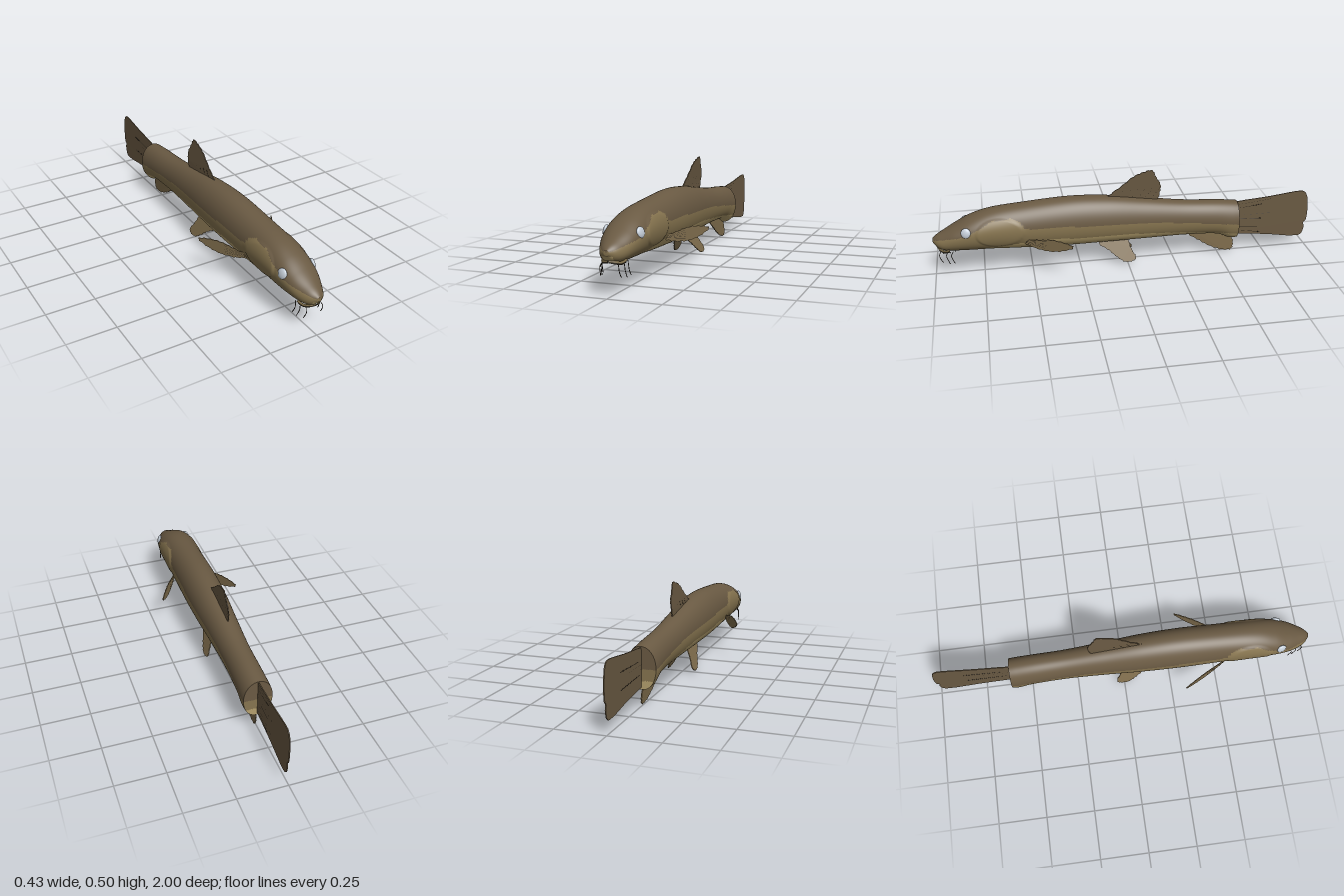
import * as THREE from 'three';

const mat = (name, color, side = THREE.FrontSide) => {
  const m = new THREE.MeshStandardMaterial({ color, side });
  m.name = name;
  return m;
};

// Piecewise linear lookup over [z, value] pairs, ordered from nose to tail
function along(table, z) {
  for (let i = 1; i < table.length; i++) {
    const [z0, v0] = table[i - 1], [z1, v1] = table[i];
    if (z >= z1) return THREE.MathUtils.lerp(v0, v1, Math.min(1, (z0 - z) / (z0 - z1)));
  }
  return table[table.length - 1][1];
}

// Body sections: z, top, bottom, half width, height of the widest point
const SECTIONS = [
  [1.0, 0.212, 0.19, 0.012, 0.2], [0.975, 0.232, 0.162, 0.04, 0.195], [0.94, 0.252, 0.148, 0.06, 0.198],
  [0.88, 0.285, 0.145, 0.082, 0.22], [0.8, 0.325, 0.143, 0.095, 0.24], [0.7, 0.354, 0.14, 0.097, 0.25],
  [0.55, 0.37, 0.132, 0.097, 0.25], [0.3, 0.386, 0.125, 0.099, 0.25], [0.1, 0.376, 0.125, 0.094, 0.245],
  [-0.1, 0.348, 0.125, 0.082, 0.235], [-0.3, 0.32, 0.126, 0.073, 0.22], [-0.48, 0.306, 0.118, 0.074, 0.205],
  [-0.56, 0.298, 0.088, 0.076, 0.19], [-0.6, 0.293, 0.086, 0.074, 0.19],
];
// Lower edge of the dark back, and upper edge of the pale belly
const BACK_EDGE = [[1, 0.205], [0.93, 0.225], [0.84, 0.245], [0.76, 0.285], [0.7, 0.318], [0.6, 0.325],
  [0.555, 0.305], [0.535, 0.268], [0.3, 0.262], [0, 0.25], [-0.3, 0.222], [-0.6, 0.185]];
const BELLY_EDGE = [[1, 0.16], [0.9, 0.155], [0.7, 0.165], [0.55, 0.188], [0.4, 0.195], [0, 0.185], [-0.3, 0.16], [-0.6, 0.128]];

function bodyGeometry() {
  const upper = new THREE.CatmullRomCurve3(SECTIONS.map(s => new THREE.Vector3(s[1], s[2], s[0])), false, 'catmullrom');
  const width = new THREE.CatmullRomCurve3(SECTIONS.map(s => new THREE.Vector3(s[3], s[4], s[0])), false, 'catmullrom');
  const ROWS = 200, SIDES = 112, pos = [], rows = [];
  for (let i = 0; i <= ROWS; i++) rows.push([i / ROWS, 1]);
  for (let i = 0; i <= 16; i++) rows.push([1, 1 - i / 16]); // flat rear cap
  rows.unshift([0, 0]);
  for (const [t, scale] of rows) {
    const { x: top, y: bottom, z } = upper.getPoint(t), { x: w, y: mid } = width.getPoint(t);
    for (let j = 0; j < SIDES; j++) {
      const a = j / SIDES * Math.PI * 2, c = Math.cos(a), s = Math.sin(a);
      let x = w * Math.sign(c) * Math.abs(c) ** (s < 0 ? 0.85 : 0.95);
      const y = mid + s * (s > 0 ? top - mid : mid - bottom);
      // Gill cover swells slightly and drops away at its rear edge
      const g = ((z - 0.66) / 0.125) ** 2 + ((y - 0.25) / 0.078) ** 2;
      if (g < 1) x += Math.sign(c) * 0.005 * Math.min(1, (1 - g) * 5);
      pos.push(x * scale, mid + (y - mid) * scale, z);
    }
  }
  // Sort the faces into back, side and belly
  const faces = [[], [], []];
  for (let i = 0; i < rows.length - 1; i++) for (let j = 0; j < SIDES; j++) {
    const k = (j + 1) % SIDES, a = i * SIDES + j, b = i * SIDES + k, c = a + SIDES, d = b + SIDES;
    const mean = n => (pos[a * 3 + n] + pos[b * 3 + n] + pos[c * 3 + n] + pos[d * 3 + n]) / 4;
    const x = mean(0), y = mean(1), z = mean(2);
    const chin = z > 0.9 && y < 0.185 && Math.abs(x) < 0.024;
    const zone = chin || y < along(BELLY_EDGE, z) ? 2 : y < along(BACK_EDGE, z) ? 1 : 0;
    faces[zone].push(a, c, b, b, c, d);
  }
  const geo = new THREE.BufferGeometry();
  geo.setAttribute('position', new THREE.Float32BufferAttribute(pos, 3));
  geo.setIndex(faces.flat());
  let start = 0;
  faces.forEach((f, i) => { geo.addGroup(start, f.length, i); start += f.length; });
  geo.computeVertexNormals();
  return geo;
}

// Thin fin from an outline; place() sets the plate in space, the free edge is slightly ragged
function finGeometry(points, place, ragged = 0.004, thick = 0.005) {
  const curve = new THREE.CatmullRomCurve3(points.map(p => new THREE.Vector3(p[0], p[1], 0)), false, 'centripetal');
  const n = 48, shape = new THREE.Shape();
  for (let i = 0; i <= n; i++) {
    const p = curve.getPoint(i / n), d = curve.getTangent(i / n);
    const k = i % 3 === 1 && i < n ? ragged : 0;
    if (i) shape.lineTo(p.x - d.y * k, p.y + d.x * k);
    else shape.moveTo(p.x, p.y);
  }
  const geo = new THREE.ExtrudeGeometry(shape, { depth: thick, bevelEnabled: false });
  const p = geo.attributes.position;
  for (let i = 0; i < p.count; i++) p.setXYZ(i, ...place(p.getX(i), p.getY(i), p.getZ(i) - thick / 2));
  geo.computeVertexNormals();
  return geo;
}

export function createModel() {
  const model = new THREE.Group();
  const back = mat('back brown', 0x6a5a43);
  const side = mat('side tan', 0x86744f);
  const belly = mat('belly cream', 0xb5a06e);
  const darkFin = mat('dark fin brown', 0x6a5a43, THREE.DoubleSide);
  const paleFin = mat('pale fin tan', 0x7d6b4b, THREE.DoubleSide);
  const dark = mat('ray dark', 0x2c251b);
  const eyeWhite = mat('eye pale grey', 0xc3ccd6);

  const add = (name, geo, material, parent = model) => {
    const m = new THREE.Mesh(geo, material);
    m.name = name;
    parent.add(m);
    return m;
  };
  const tube = (name, pts, r, material, parent) => add(name, new THREE.TubeGeometry(
    new THREE.CatmullRomCurve3(pts.map(p => new THREE.Vector3(...p))), 12, r, 5), material, parent);
  // Mirrored pair of groups, the model's left is +x
  const pair = (name, build) => [1, -1].forEach(s => {
    const g = new THREE.Group();
    g.name = (s > 0 ? 'left' : 'right') + name;
    g.scale.x = s;
    build(g);
    model.add(g);
  });

  add('body', bodyGeometry(), [back, side, belly]);

  // Middle fins, outlined in z and y
  const tailPlace = (z, y, w) => [-w + 0.008 * Math.max(0, (-0.6 - z) / 0.4), y, z];
  add('tailFin', finGeometry([[-0.58, 0.11], [-0.6, 0.1], [-0.75, 0.085], [-0.95, 0.06], [-0.975, 0.068],
    [-0.99, 0.11], [-0.985, 0.14], [-0.997, 0.15], [-0.997, 0.27], [-0.985, 0.31], [-0.965, 0.325], [-0.8, 0.308],
    [-0.6, 0.288], [-0.58, 0.285]], tailPlace, 0.001), darkFin);
  const dorsalPlace = (z, y, w) => [-w + 0.01 * Math.max(0, (y - 0.37) / 0.14), y, z];
  add('dorsalFin', finGeometry([[0.12, 0.35], [0.1, 0.373], [0.03, 0.425], [-0.04, 0.48], [-0.09, 0.5], [-0.135, 0.508],
    [-0.155, 0.47], [-0.182, 0.42], [-0.18, 0.38], [-0.165, 0.32]], dorsalPlace), darkFin);
  const analPlace = (z, y, w) => [-w + 0.006 * Math.max(0, (0.11 - y) / 0.1), y, z];
  add('analFin', finGeometry([[-0.54, 0.14], [-0.575, 0.09], [-0.59, 0.045], [-0.58, 0.012], [-0.53, 0.012],
    [-0.46, 0.04], [-0.4, 0.078], [-0.34, 0.122], [-0.36, 0.14]], analPlace, -0.004), paleFin);

  // Dark fin rays near the roots
  for (let i = 0; i < 8; i++) {
    const f = i / 7, y = 0.12 + f * 0.15, end = -0.74 - 0.05 * (i % 3);
    tube('tailRay', [[0, y, -0.6], [0.002, y + (f - 0.5) * 0.02, (end - 0.6) / 2],
      [0.004, y + (f - 0.5) * 0.045, end]], 0.0028, dark);
  }
  for (let i = 0; i < 6; i++) {
    const z = 0.05 - i * 0.038;
    tube('dorsalRay', [dorsalPlace(z, 0.355, 0), dorsalPlace(z - 0.02, 0.38, 0), dorsalPlace(z - 0.035, 0.405, 0)], 0.0028, dark);
  }

  // Pectoral fins sweep out and back, outlined in x and y
  const pecPlace = (x, y, w) => [x + w * 0.87, y, 0.52 - (x - 0.09) * 1.75 + w * 0.5];
  const pecOutline = [[0.08, 0.182], [0.11, 0.166], [0.15, 0.161], [0.185, 0.176], [0.212, 0.206], [0.185, 0.221],
    [0.15, 0.224], [0.12, 0.213], [0.08, 0.198]];
  pair('PectoralFin', g => {
    add('pectoralFin', finGeometry(pecOutline, pecPlace, -0.003, 0.004), paleFin, g);
    for (let i = 0; i < 5; i++) {
      const f = i / 4 - 0.5;
      tube('pectoralRay', [pecPlace(0.085, 0.19 + f * 0.012, 0), pecPlace(0.11, 0.19 + f * 0.022, 0),
        pecPlace(0.14, 0.192 + f * 0.04, 0)], 0.0024, dark, g);
    }
  });

  // Pelvic fins splay downwards
  const pelvicPlace = (z, y, w) => [0.03 + (0.12 - y) * 0.44 - w, y, z];
  pair('PelvicFin', g => add('pelvicFin', finGeometry([[-0.005, 0.14], [-0.015, 0.09], [-0.04, 0.035], [-0.02, 0.023],
    [0.02, 0.024], [0.06, 0.05], [0.1, 0.085], [0.15, 0.122], [0.13, 0.14]], pelvicPlace, -0.003), paleFin, g));

  // Eyes, gill edges, lips and barbels
  pair('HeadDetails', g => {
    const eye = add('eye', new THREE.SphereGeometry(1, 28, 18), eyeWhite, g);
    eye.scale.set(0.011, 0.026, 0.025);
    eye.position.set(0.083, 0.265, 0.83);
    eye.rotation.set(0, -0.25, 0.25);
    tube('lip', [[0, 0.163, 0.979], [0.025, 0.158, 0.967], [0.043, 0.153, 0.945], [0.054, 0.16, 0.915]], 0.006, side, g);
    tube('mouthLine', [[0, 0.157, 0.978], [0.025, 0.151, 0.966], [0.044, 0.146, 0.943], [0.053, 0.152, 0.918]], 0.0035, dark, g);
    [[0.042, 0.965], [0.053, 0.93], [0.06, 0.905]].forEach(([x, z], i) => {
      tube('barbel', [[x - 0.006, 0.155, z - 0.005], [x + 0.002, 0.135, z + 0.006],
        [x + 0.003, 0.115, z + 0.002], [x + 0.006, 0.092 - (i === 1 ? 0.006 : 0), z - 0.01]], 0.0018, dark, g);
    });
  });
  const nose = add('noseTip', new THREE.SphereGeometry(0.011, 16, 12), side);
  nose.position.set(0, 0.203, 0.989);

  return model;
}
